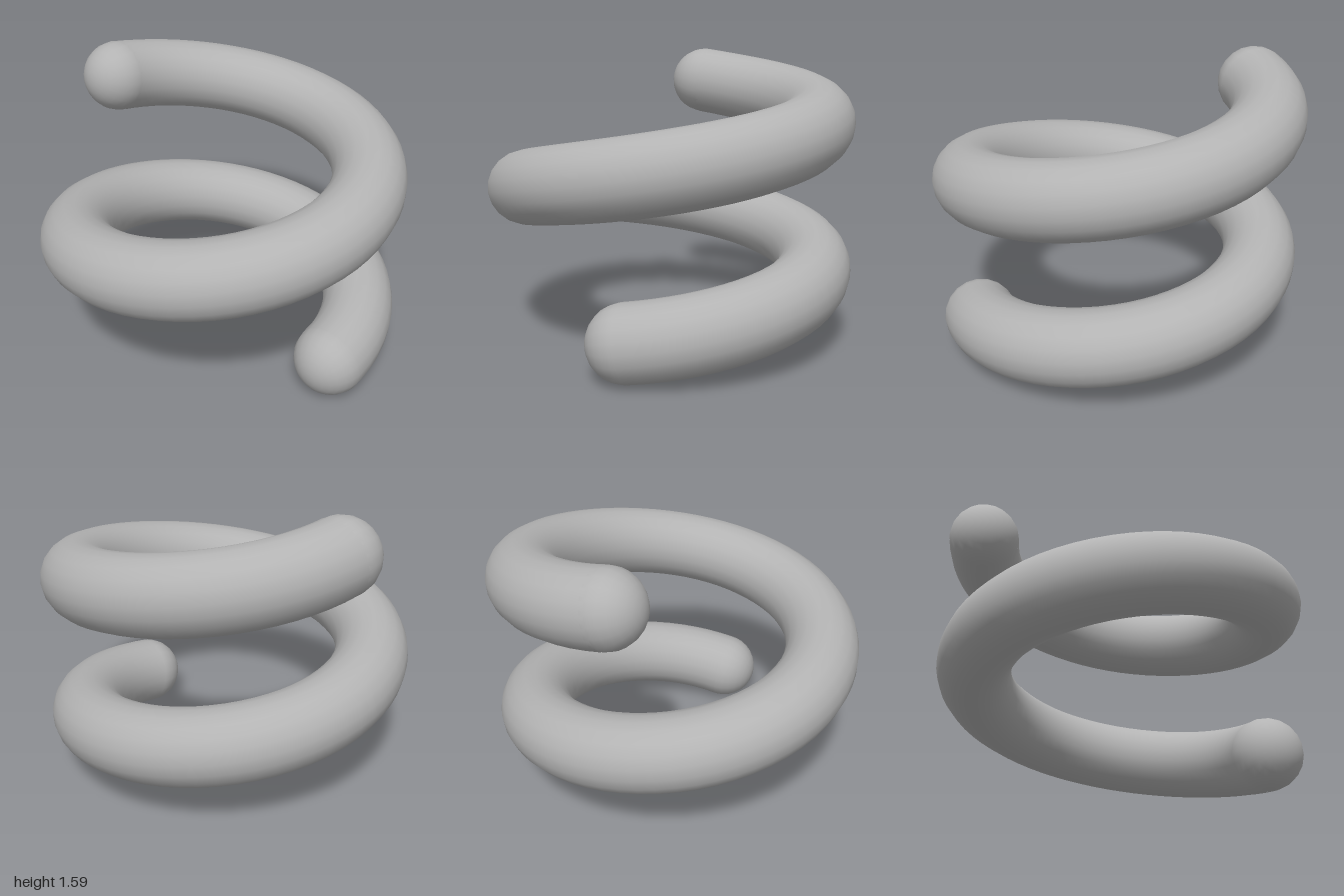
import * as THREE from 'three';

const COIL_RADIUS = 0.8, TUBE_RADIUS = 0.198, PITCH = 0.8, TURNS = 1.5, BASE = 0.198;

// Rising coil that starts at +x and runs round the back first
class Helix extends THREE.Curve {
  getPoint(t, target = new THREE.Vector3()) {
    const a = t * TURNS * Math.PI * 2;
    return target.set(
      COIL_RADIUS * Math.cos(a),
      BASE + PITCH * TURNS * t,
      -COIL_RADIUS * Math.sin(a)
    );
  }
}

export function createModel() {
  const group = new THREE.Group();
  group.name = 'coilSpring';
  const grey = new THREE.MeshStandardMaterial({ color: 0xb3b3b3 });
  grey.name = 'grey';

  // Coiled wire
  const helix = new Helix();
  const coil = new THREE.Mesh(new THREE.TubeGeometry(helix, 96, TUBE_RADIUS, 20, false), grey);
  coil.name = 'coil';
  group.add(coil);

  // Rounded ends, domes pointing outward along the wire
  const dome = new THREE.SphereGeometry(TUBE_RADIUS, 20, 8, 0, Math.PI * 2, 0, Math.PI * 0.54);
  const up = new THREE.Vector3(0, 1, 0);
  for (const [name, t, sign] of [['lowerEnd', 0, -1], ['upperEnd', 1, 1]]) {
    const end = new THREE.Mesh(dome, grey);
    end.name = name;
    end.position.copy(helix.getPoint(t));
    end.quaternion.setFromUnitVectors(up, helix.getTangent(t).multiplyScalar(sign));
    group.add(end);
  }
  return group;
}
